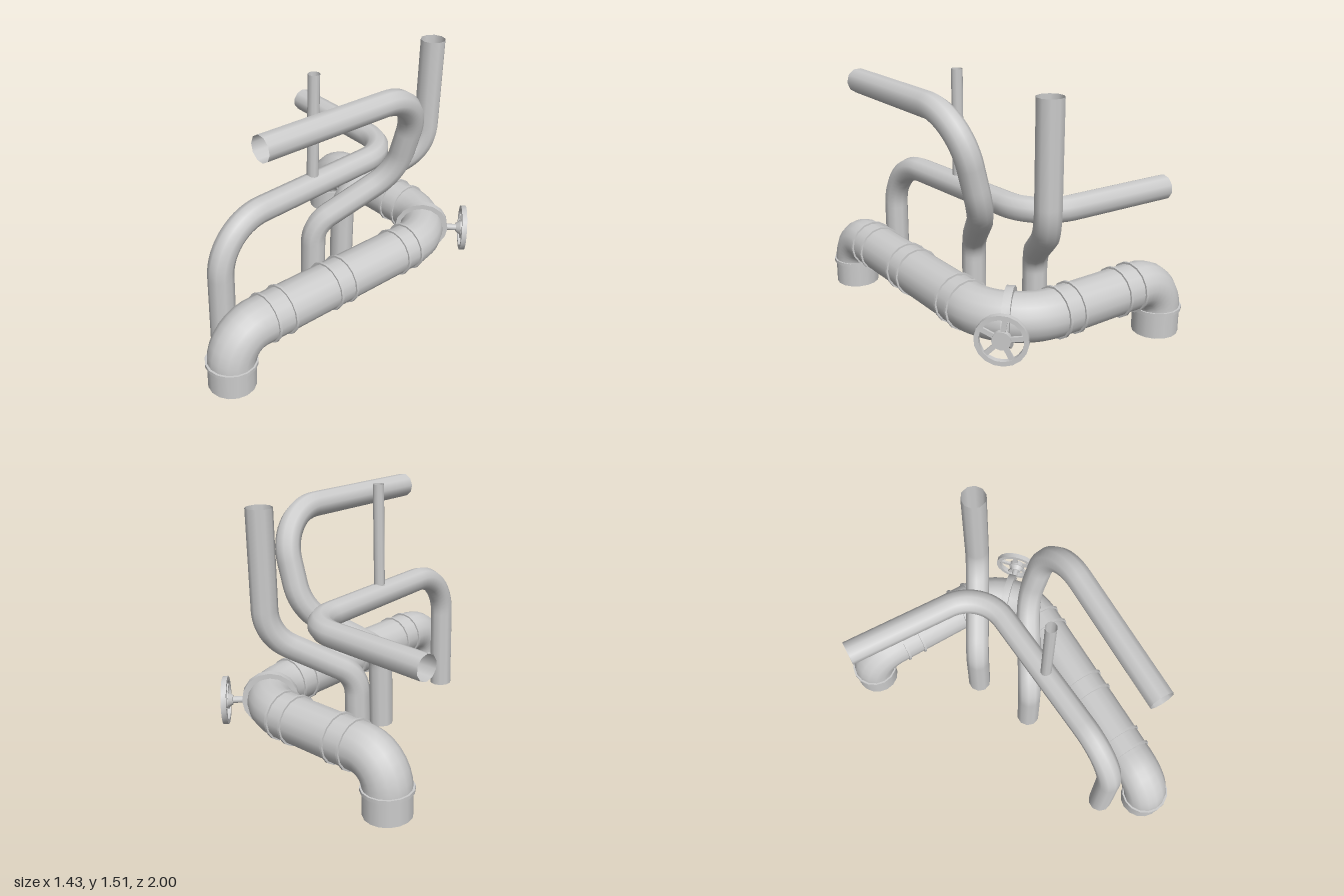
import * as THREE from 'three';
import { toCreasedNormals } from 'three/addons/utils/BufferGeometryUtils.js';

const material = new THREE.MeshStandardMaterial({ color: 0xcccccc, side: THREE.DoubleSide });
const V = (x, y, z) => new THREE.Vector3(x, y, z);

function addMesh(parent, name, geometry) {
  const mesh = new THREE.Mesh(geometry, material);
  mesh.name = name;
  parent.add(mesh);
  return mesh;
}

// Open pipe along straight runs joined by round elbows; trims[i] is the length each elbow takes from its runs
function pipe(points, trims, radius, sides) {
  const path = new THREE.CurvePath();
  let start = points[0];
  for (let i = 1; i < points.length - 1; i++) {
    const corner = points[i], trim = trims[i - 1];
    const back = points[i - 1].clone().sub(corner).normalize();
    const ahead = points[i + 1].clone().sub(corner).normalize();
    const turn = Math.PI - back.angleTo(ahead);
    const handle = trim * (1 - (4 / 3) * Math.tan(turn / 4) / Math.tan(turn / 2));
    const a = corner.clone().addScaledVector(back, trim);
    const b = corner.clone().addScaledVector(ahead, trim);
    path.add(new THREE.LineCurve3(start, a));
    path.add(new THREE.CubicBezierCurve3(a,
      corner.clone().addScaledVector(back, handle),
      corner.clone().addScaledVector(ahead, handle), b));
    start = b;
  }
  path.add(new THREE.LineCurve3(start, points[points.length - 1]));
  return new THREE.TubeGeometry(path, 84, radius, sides, false);
}

// Square-edged ring around the y axis
function ring(inner, outer, thickness, sides) {
  const h = thickness / 2;
  const profile = [[inner, -h], [outer, -h], [outer, h], [inner, h], [inner, -h]]
    .map(([r, y]) => new THREE.Vector2(r, y));
  return toCreasedNormals(new THREE.LatheGeometry(profile, sides), 0.7);
}

function placeRing(parent, name, geometry, position, axis) {
  const mesh = addMesh(parent, name, geometry);
  mesh.position.copy(position);
  mesh.quaternion.setFromUnitVectors(V(0, 1, 0), axis.clone().normalize());
}

export function createModel() {
  const model = new THREE.Group();
  model.name = 'pipework';

  // Large pipe: two feet and a wide corner
  const X = 0.525, Z = -0.8, Y = 0.335, R = 0.135, bend = 0.34;
  addMesh(model, 'mainPipe', pipe([
    V(-0.565, 0.01, Z), V(-0.565, Y, Z), V(X, Y, Z), V(X, Y, 0.86), V(X, 0.01, 0.86),
  ], [0.175, bend, 0.175], R, 16));

  // Joint rings along the large pipe
  const joint = ring(R - 0.005, 0.146, 0.015, 16);
  for (const z of [0.63, 0.515, 0.187, 0.075, -0.35, -0.455])
    placeRing(model, 'jointRing', joint, V(X, Y, z), V(0, 0, 1));
  for (const x of [-0.345, -0.23, 0.095, 0.2])
    placeRing(model, 'jointRing', joint, V(x, Y, Z), V(1, 0, 0));
  const footRing = ring(R - 0.005, 0.146, 0.02, 16);
  placeRing(model, 'footRing', footRing, V(-0.565, 0.162, Z), V(0, 1, 0));
  placeRing(model, 'footRing', footRing, V(X, 0.162, 0.86), V(0, 1, 0));

  // Valve on the middle of the corner, local +y pointing outwards
  const reach = bend * (1 - Math.SQRT1_2);
  const valve = new THREE.Group();
  valve.name = 'valve';
  valve.position.set(X - reach, Y, Z + reach);
  valve.quaternion.setFromUnitVectors(V(0, 1, 0), V(1, 0, -1).normalize());
  model.add(valve);
  placeRing(model, 'valveFlange', ring(R - 0.01, 0.165, 0.045, 16), valve.position, V(1, 0, 1));
  addMesh(valve, 'valveStem', new THREE.CylinderGeometry(0.02, 0.02, 0.14, 10)).position.y = 0.185;
  addMesh(valve, 'stemCollar', new THREE.CylinderGeometry(0.045, 0.028, 0.025, 12)).position.y = 0.23;

  // Handwheel
  const wheel = new THREE.Group();
  wheel.name = 'handwheel';
  wheel.position.y = 0.258;
  valve.add(wheel);
  addMesh(wheel, 'wheelRim', ring(0.115, 0.14, 0.03, 18));
  addMesh(wheel, 'wheelHub', new THREE.CylinderGeometry(0.05, 0.05, 0.03, 14));
  for (let i = 0; i < 5; i++) {
    const arm = new THREE.Group();
    arm.name = 'spokeArm';
    arm.rotation.y = (i / 5) * Math.PI * 2;
    wheel.add(arm);
    addMesh(arm, 'spoke', new THREE.BoxGeometry(0.085, 0.014, 0.026)).position.x = 0.08;
  }

  // Three small pipes
  const r = 0.074;
  addMesh(model, 'sidePipe', pipe([
    V(0.28, 0, 0.74), V(0.28, 0.825, 0.74), V(0.2, 0.825, -0.625), V(-0.71, 0.825, -0.668),
  ], [0.3, 0.24], r, 10));
  addMesh(model, 'tallPipe', pipe([
    V(0.018, 0, -0.395), V(0.018, 0.5, -0.395), V(0.283, 0.8, -0.83), V(0.283, 1.51, -0.83),
  ], [0.11, 0.15], r, 10));
  addMesh(model, 'overheadPipe', pipe([
    V(0.178, 0, -0.01), V(0.178, 0.5, -0.01), V(0.415, 0.82, -0.44),
    V(0.565, 1.382, -0.45), V(0.55, 1.382, 0.657),
  ], [0.11, 0.15, 0.29], r, 10));

  // Thin riser standing on the side pipe
  const riser = addMesh(model, 'thinRiser', new THREE.CylinderGeometry(0.034, 0.034, 0.64, 10, 1, true));
  riser.position.set(0.239, 1.19, 0.055);

  return model;
}
